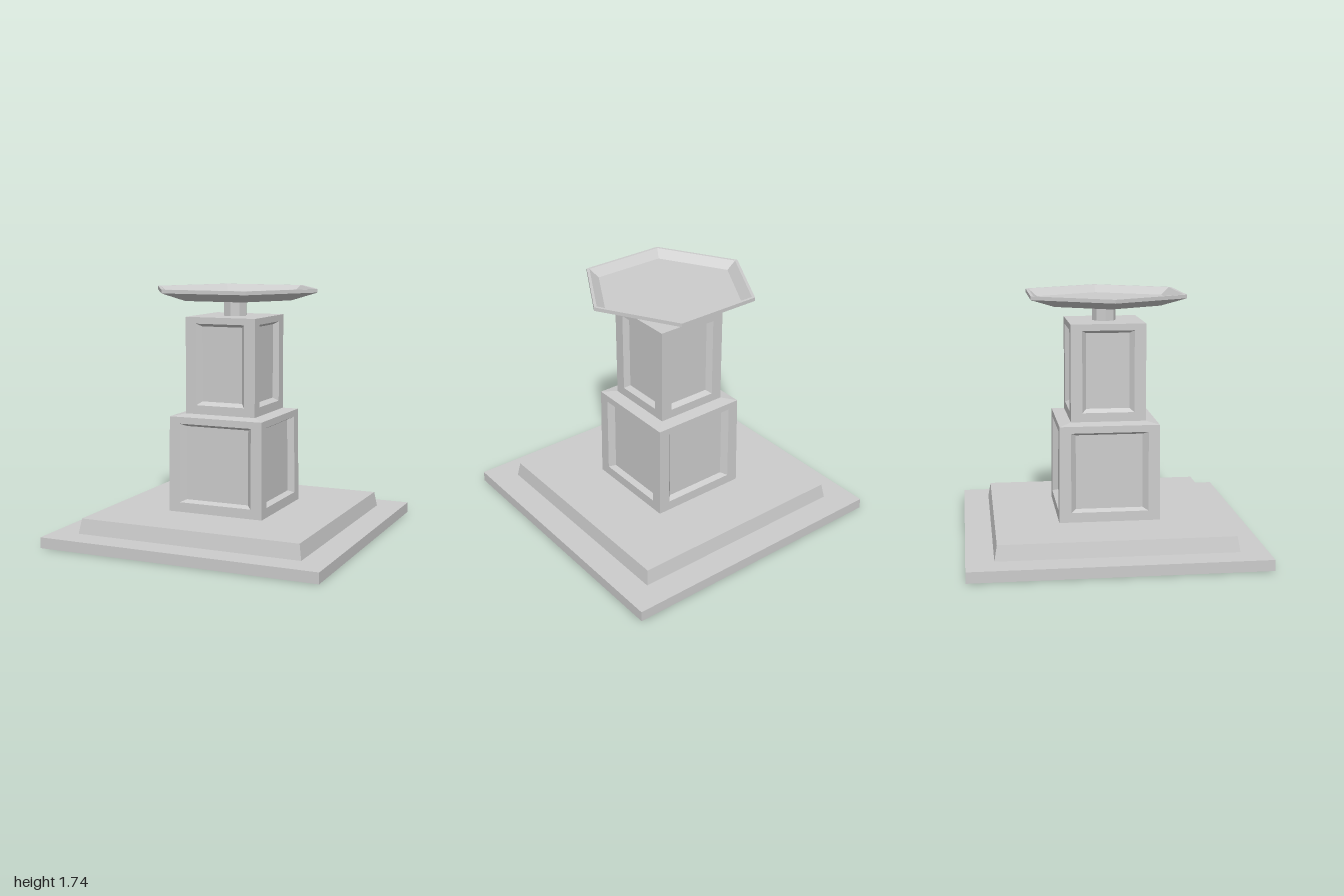
import * as THREE from 'three';

const material = new THREE.MeshStandardMaterial({
  color: 0xcccccc, flatShading: true, side: THREE.DoubleSide,
});

// Mesh from quads of one front-facing side, repeated around the four sides.
function fourSided(name, quads) {
  const positions = [];
  for (let side = 0; side < 4; side++) {
    const turn = new THREE.Matrix4().makeRotationY(side * Math.PI / 2);
    for (const quad of quads) {
      const p = quad.map(c => new THREE.Vector3(...c).applyMatrix4(turn));
      for (const i of [0, 1, 2, 0, 2, 3]) positions.push(p[i].x, p[i].y, p[i].z);
    }
  }
  const geometry = new THREE.BufferGeometry();
  geometry.setAttribute('position', new THREE.Float32BufferAttribute(positions, 3));
  geometry.computeVertexNormals();
  const mesh = new THREE.Mesh(geometry, material);
  mesh.name = name;
  return mesh;
}

// Square shell through [halfWidth, y] steps, listed from bottom to top.
function squareShell(name, steps) {
  const quads = [];
  for (let i = 0; i + 1 < steps.length; i++) {
    const [a, y0] = steps[i], [b, y1] = steps[i + 1];
    quads.push([[-a, y0, a], [a, y0, a], [b, y1, b], [-b, y1, b]]);
  }
  return fourSided(name, quads);
}

// Square block whose sides each carry a sunken panel with bevelled edges.
function panelledBlock(name, { bottom, top, opening, field, depth }) {
  const faceAt = y => THREE.MathUtils.mapLinear(y, bottom[1], top[1], bottom[0], top[0]);
  const loop = ([w, y0, y1], sink) => [[-w, y0], [w, y0], [w, y1], [-w, y1]]
    .map(([x, y]) => [x, y, faceAt(y) - sink]);
  const loops = [
    loop([bottom[0], bottom[1], top[1]], 0),
    loop(opening, 0),
    loop(field, depth),
  ];
  loops[0][2][0] = top[0];
  loops[0][3][0] = -top[0];
  const quads = [loops[2]];
  for (let k = 0; k < 2; k++) {
    for (let i = 0; i < 4; i++) {
      const j = (i + 1) % 4;
      quads.push([loops[k][i], loops[k][j], loops[k + 1][j], loops[k + 1][i]]);
    }
  }
  return fourSided(name, quads);
}

function facetedLathe(name, profile, sides) {
  const points = profile.map(([r, y]) => new THREE.Vector2(r, y));
  const geometry = new THREE.LatheGeometry(points, sides, Math.PI / 2);
  const mesh = new THREE.Mesh(geometry, material);
  mesh.name = name;
  return mesh;
}

export function createModel() {
  const group = new THREE.Group();
  group.name = 'pedestalBowl';

  // Stepped base, hollow and open below
  group.add(squareShell('steppedBase', [
    [1, 0], [1, 0.075], [0.813, 0.075], [0.795, 0.18], [0.352, 0.18],
  ]));

  // Two stacked panelled blocks with a sloping ledge between them
  group.add(panelledBlock('lowerBlock', {
    bottom: [0.352, 0.18], top: [0.345, 0.852],
    opening: [0.268, 0.248, 0.805], field: [0.232, 0.265, 0.785], depth: 0.04,
  }));
  group.add(squareShell('ledge', [[0.345, 0.852], [0.26, 0.866]]));
  group.add(panelledBlock('upperBlock', {
    bottom: [0.26, 0.866], top: [0.26, 1.54],
    opening: [0.18, 0.928, 1.495], field: [0.15, 0.952, 1.475], depth: 0.035,
  }));
  group.add(squareShell('upperBlockTop', [[0.26, 1.54], [0, 1.54]]));

  // Octagonal stem
  group.add(facetedLathe('stem', [[0.083, 1.54], [0.083, 1.656]], 8));

  // Shallow hexagonal bowl
  group.add(facetedLathe('bowl', [
    [0, 1.655], [0.42, 1.655], [0.61, 1.712], [0.61, 1.737],
    [0.588, 1.737], [0.52, 1.685], [0, 1.685],
  ], 6));

  return group;
}
